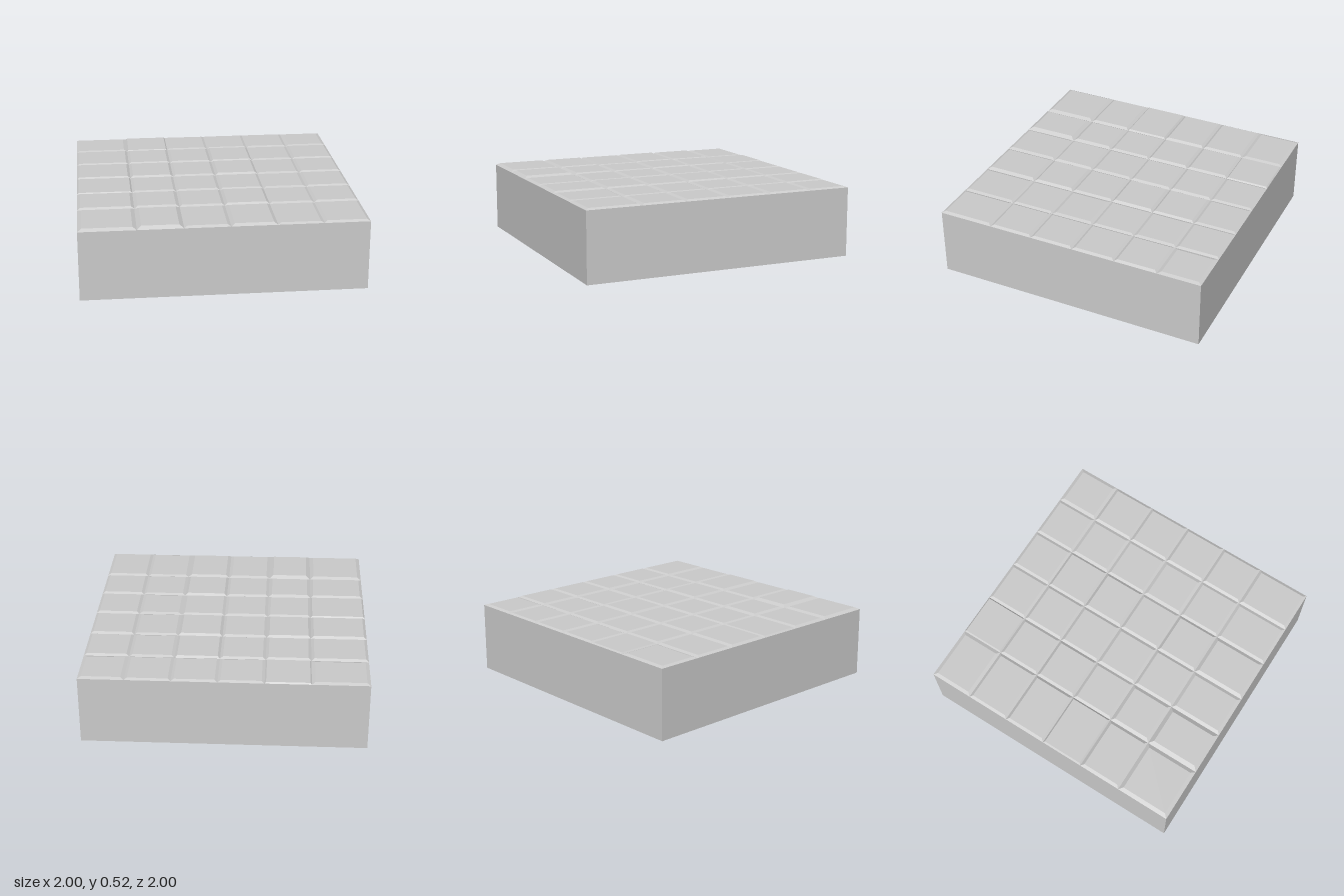
import * as THREE from 'three';

export function createModel() {
  const group = new THREE.Group();
  const material = new THREE.MeshStandardMaterial({ color: 0xcccccc, flatShading: true });
  const baseTop = 0.502;

  // Solid block under the tiles
  const block = new THREE.Mesh(new THREE.BoxGeometry(2, baseTop, 2), material);
  block.name = 'block';
  block.position.y = baseTop / 2;
  group.add(block);

  // Joint lines between tiles, and the top height of each column and row
  const xs = [-1, -0.6, -0.28, 0.04, 0.36, 0.68, 1];
  const zs = [-1, -0.68, -0.36, -0.04, 0.28, 0.6, 1];
  const colTop = [0.517, 0.521, 0.513, 0.516, 0.511, 0.513];
  const rowTop = [0.511, 0.514, 0.516, 0.513, 0.516, 0.521];

  // Bevel width of each tile, back row first
  const bevels = [
    [0.025, 0.01, 0.02, 0.02, 0.02, 0.025],
    [0.02, 0.02, 0.02, 0.017, 0.022, 0.02],
    [0.02, 0.02, 0.02, 0.02, 0.02, 0.02],
    [0.012, 0.02, 0.022, 0.02, 0.024, 0.02],
    [0.022, 0.025, 0.02, 0.02, 0.02, 0.02],
    [0.028, 0.031, 0.024, 0.025, 0.022, 0.022],
  ];

  // A box whose top corners are drawn in to make sloping sides
  function tileGeometry(width, height, depth, bevel) {
    const g = new THREE.BoxGeometry(width, height, depth);
    const p = g.attributes.position;
    for (let i = 0; i < p.count; i++) {
      if (p.getY(i) < 0) continue;
      p.setX(i, p.getX(i) - Math.sign(p.getX(i)) * bevel);
      p.setZ(i, p.getZ(i) - Math.sign(p.getZ(i)) * bevel);
    }
    g.computeVertexNormals();
    return g;
  }

  // Paving tiles
  const tiles = new THREE.Group();
  tiles.name = 'tiles';
  bevels.forEach((row, r) => row.forEach((bevel, c) => {
    const height = Math.min(colTop[c], rowTop[r]) - baseTop;
    const tile = new THREE.Mesh(
      tileGeometry(xs[c + 1] - xs[c], height, zs[r + 1] - zs[r], bevel), material);
    tile.name = 'tile';
    tile.position.set((xs[c] + xs[c + 1]) / 2, baseTop + height / 2, (zs[r] + zs[r + 1]) / 2);
    tiles.add(tile);
  }));
  group.add(tiles);

  return group;
}
